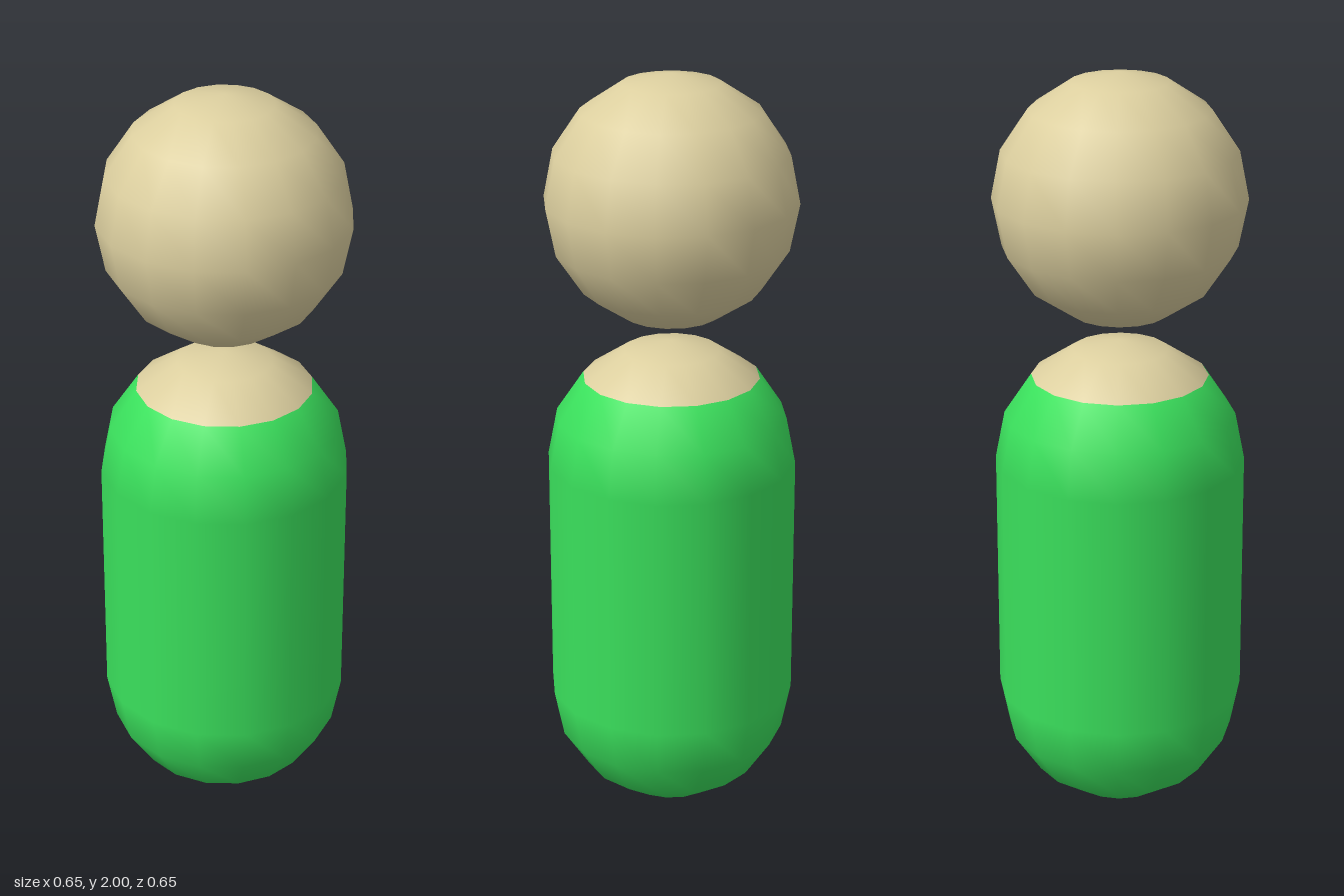
import * as THREE from 'three';

const R = 0.325;
const SIDES = 16;
const RING = Math.PI / 8; // angle between sphere rings

export function createModel() {
  const skin = new THREE.MeshStandardMaterial({ color: 0xdccf9f });
  const cloth = new THREE.MeshStandardMaterial({ color: 0x3ae05c });
  const model = new THREE.Group();
  model.name = 'pegFigure';

  const add = (name, geometry, material, y, parent) => {
    const mesh = new THREE.Mesh(geometry, material);
    mesh.name = name;
    mesh.position.y = y;
    parent.add(mesh);
  };

  // Band of a sphere spanning whole rings, counted from the top pole
  const sphereBand = (first, count) =>
    new THREE.SphereGeometry(R, SIDES, count, 0, Math.PI * 2, first * RING, count * RING);

  // Floating head
  add('head', sphereBand(0, 8), skin, 2 - R, model);

  // Capsule body: bare neckline above a coloured garment
  const body = new THREE.Group();
  body.name = 'body';
  model.add(body);
  add('neckline', sphereBand(0, 2), skin, 3 * R, body);
  add('shoulders', sphereBand(2, 2), cloth, 3 * R, body);
  add('torso', new THREE.CylinderGeometry(R, R, 2 * R, SIDES, 1, true), cloth, 2 * R, body);
  add('base', sphereBand(4, 4), cloth, R, body);

  return model;
}
